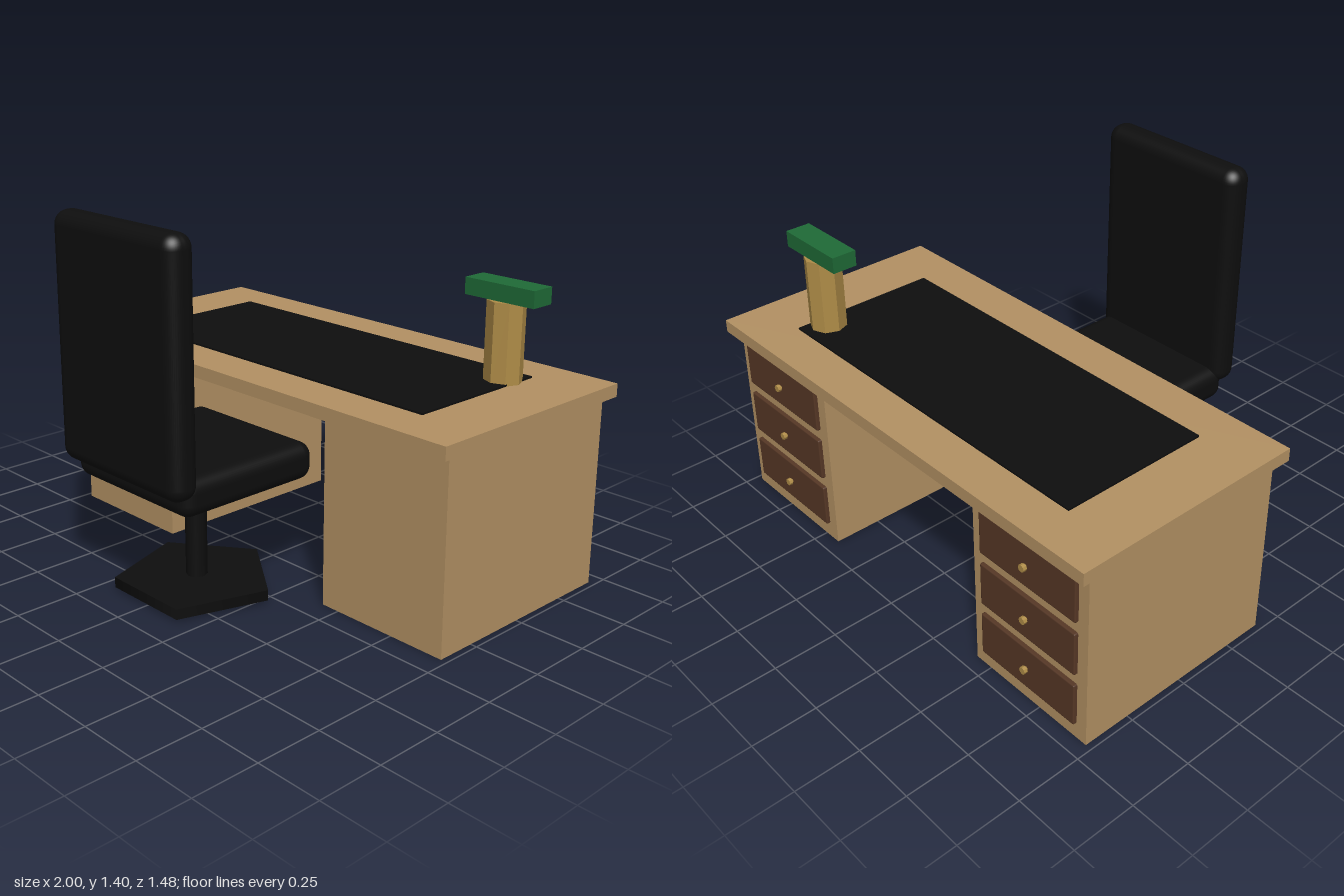
import * as THREE from 'three';
import { RoundedBoxGeometry } from 'three/addons/geometries/RoundedBoxGeometry.js';

const material = (name, color, flatShading = false) => {
  const m = new THREE.MeshStandardMaterial({ color, flatShading });
  m.name = name;
  return m;
};

export function createModel() {
  const model = new THREE.Group();
  model.name = 'deskSet';
  const wood = material('lightWood', 0xb49264);
  const darkWood = material('darkWood', 0x573826);
  const brass = material('brass', 0xb08d48, true);
  const green = material('green', 0x1f6b37);
  const black = material('black', 0x0e0e0e);

  const add = (parent, name, geometry, mat, x, y, z) => {
    const mesh = new THREE.Mesh(geometry, mat);
    mesh.name = name;
    mesh.position.set(x, y, z);
    parent.add(mesh);
    return mesh;
  };
  const group = (name) => {
    const g = new THREE.Group();
    g.name = name;
    model.add(g);
    return g;
  };
  const box = (w, h, d) => new THREE.BoxGeometry(w, h, d);

  // Desk: top, writing pad and two drawer pedestals
  const desk = group('desk');
  add(desk, 'desktop', box(2, 0.05, 0.945), wood, 0, 0.745, -0.2675);
  add(desk, 'writingPad', box(1.505, 0.007, 0.6), black, 0, 0.7735, -0.27);

  // Drawer fronts with a narrow chamfered edge, and their knobs
  const drawerGeometry = new RoundedBoxGeometry(0.46, 0.175, 0.03, 1, 0.006);
  const stemGeometry = new THREE.CylinderGeometry(0.008, 0.008, 0.012, 8).rotateX(Math.PI / 2);
  const knobGeometry = new THREE.CylinderGeometry(0.014, 0.014, 0.014, 8).rotateX(Math.PI / 2);
  for (const side of [-1, 1]) {
    const x = side * 0.7;
    add(desk, 'pedestal', box(0.55, 0.72, 0.845), wood, x, 0.36, -0.2675);
    for (let i = 0; i < 3; i++) {
      const y = 0.152 + i * 0.22;
      add(desk, 'drawerFront', drawerGeometry, darkWood, x, y, -0.69);
      add(desk, 'knobStem', stemGeometry, brass, x, y, -0.708);
      add(desk, 'knob', knobGeometry, brass, x, y, -0.717);
    }
  }

  // Lamp: eight-sided brass column under a green bar shade
  const lamp = group('lamp');
  add(lamp, 'lampColumn', new THREE.CylinderGeometry(0.071, 0.071, 0.3, 8), brass, 0.7, 0.92, -0.468);
  add(lamp, 'lampShade', box(0.3, 0.063, 0.1), green, 0.7, 1.1015, -0.47);

  // Chair: padded back and seat on a post with a five-sided foot
  const chair = group('chair');
  add(chair, 'chairBack', new RoundedBoxGeometry(0.65, 0.9, 0.116, 5, 0.052), black, 0, 0.955, 0.682);
  add(chair, 'chairSeat', new RoundedBoxGeometry(0.62, 0.14, 0.6, 5, 0.05), black, 0, 0.503, 0.385);
  add(chair, 'chairPost', new THREE.CylinderGeometry(0.04, 0.04, 0.42, 8), black, 0, 0.25, 0.385);
  const foot = add(chair, 'chairFoot', new THREE.CylinderGeometry(0.3, 0.3, 0.04, 5), black, 0, 0.032, 0.385);
  foot.rotation.y = Math.PI;

  return model;
}
